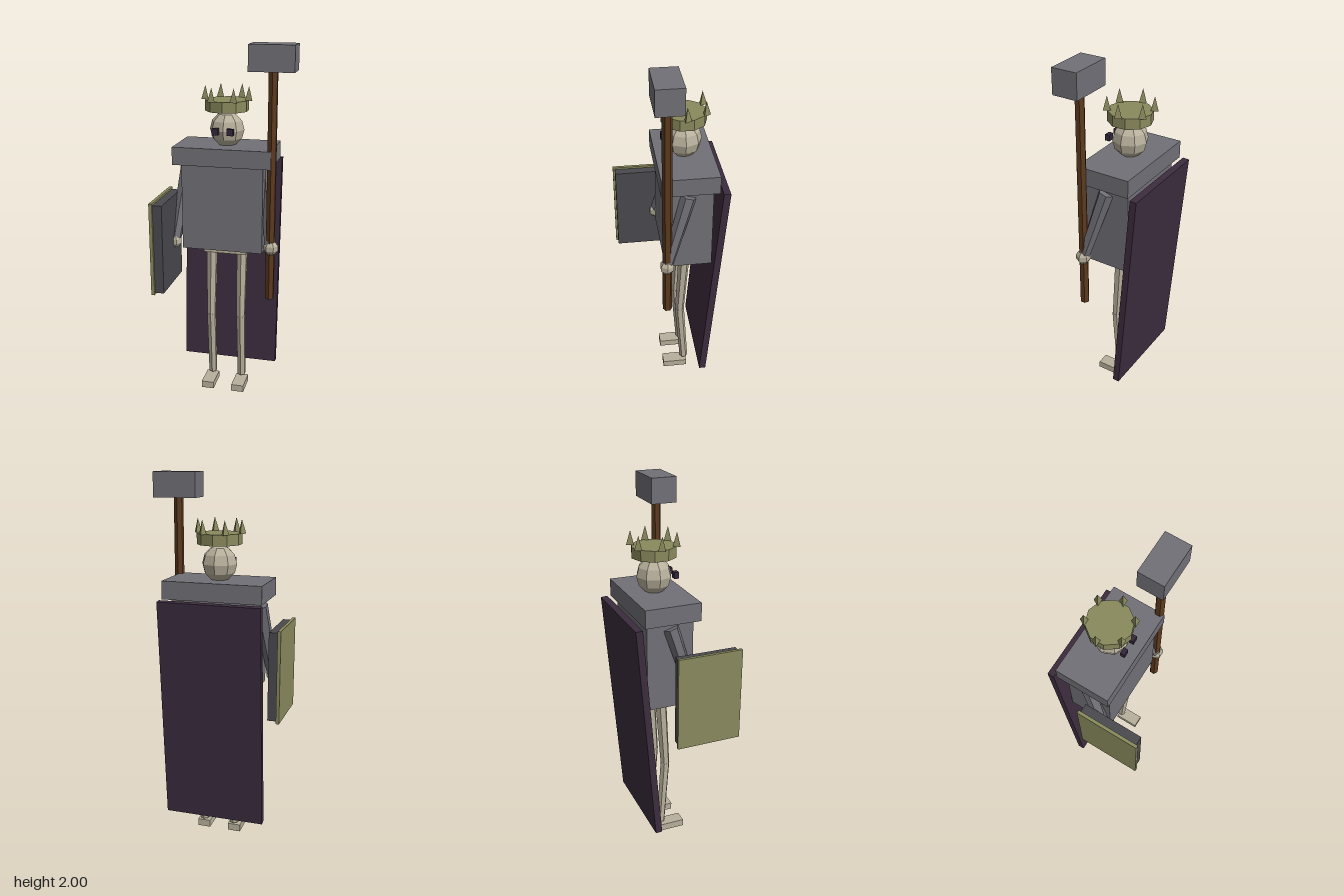
import * as THREE from 'three';

const mat = (name, color) => {
  const m = new THREE.MeshStandardMaterial({ color, flatShading: true });
  m.name = name;
  return m;
};

export function createModel() {
  const steel = mat('steel', 0x707077);
  const darkSteel = mat('dark steel', 0x4a4a4f);
  const gold = mat('tarnished gold', 0x8a8a5e);
  const bone = mat('bone', 0xb8b09c);
  const wood = mat('wood', 0x5c3a1e);
  const cloth = mat('purple cloth', 0x3c2c3e);
  const socket = mat('eye socket', 0x33283a);

  const model = new THREE.Group();
  model.name = 'skeletonKing';
  // The figure's own axis, slightly off the middle because of its gear
  const body = new THREE.Group();
  body.name = 'body';
  body.position.set(-0.027, 0, -0.077);
  model.add(body);

  const add = (parent, name, geometry, material, x, y, z) => {
    const mesh = new THREE.Mesh(geometry, material);
    mesh.name = name;
    mesh.position.set(x, y, z);
    parent.add(mesh);
    return mesh;
  };
  const box = (parent, name, material, w, h, d, x, y, z) =>
    add(parent, name, new THREE.BoxGeometry(w, h, d), material, x, y, z);

  // Tapered limb running from point a down to point b
  const limb = (name, material, a, b, rTop, rBottom) => {
    const top = new THREE.Vector3(...a), bottom = new THREE.Vector3(...b);
    const axis = top.clone().sub(bottom);
    const mid = top.clone().add(bottom).multiplyScalar(0.5);
    const mesh = add(body, name,
      new THREE.CylinderGeometry(rTop, rBottom, axis.length(), 6), material, mid.x, mid.y, mid.z);
    mesh.quaternion.setFromUnitVectors(new THREE.Vector3(0, 1, 0), axis.normalize());
  };

  // Armour and hips
  box(body, 'shoulderPlate', steel, 0.54, 0.097, 0.303, 0, 1.404, 0);
  box(body, 'torso', steel, 0.45, 0.48, 0.254, 0, 1.116, 0);
  box(body, 'hips', bone, 0.243, 0.042, 0.116, 0, 0.857, 0);

  // Head
  add(body, 'skull', new THREE.SphereGeometry(0.096, 8, 6), bone, 0, 1.535, 0);

  // Crown: a ten-sided drum with six three-sided spikes
  add(body, 'crownBand', new THREE.CylinderGeometry(0.119, 0.119, 0.058, 10), gold, 0, 1.666, 0);
  for (let i = 0; i < 6; i++) {
    const a = (i * Math.PI) / 3;
    const spike = add(body, 'crownSpike', new THREE.ConeGeometry(0.0235, 0.075, 3), gold,
      0.12 * Math.cos(a), 1.731, 0.12 * Math.sin(a));
    spike.rotation.y = Math.PI;
  }

  // Mirrored eyes, legs, feet, arms and hands
  for (const s of [1, -1]) {
    const side = s > 0 ? 'left' : 'right';
    box(body, side + 'Eye', socket, 0.035, 0.035, 0.025, s * 0.041, 1.537, 0.104);
    limb(side + 'Thigh', bone, [s * 0.088, 0.838, 0.002], [s * 0.088, 0.44, 0.026], 0.032, 0.026);
    limb(side + 'Shin', bone, [s * 0.088, 0.445, 0.026], [s * 0.088, 0.052, -0.002], 0.027, 0.024);
    box(body, side + 'Foot', bone, 0.072, 0.04, 0.14, s * 0.09, 0.02, 0.056);
    limb(side + 'Arm', steel, [s * 0.222, 1.322, 0.004], [s * 0.268, 0.93, 0.118], 0.042, 0.032);
    add(body, side + 'Hand', new THREE.SphereGeometry(0.042, 6, 5), bone, s * 0.274, 0.915, 0.122);
  }

  // Stiff cape leaning away from the back at the top
  const cape = box(model, 'cape', cloth, 0.557, 1.238, 0.037, -0.027, 0.735, -0.214);
  cape.rotation.x = -0.08;

  // War hammer in the left hand
  const hammer = new THREE.Group();
  hammer.name = 'hammer';
  hammer.position.set(0.244, 0, 0.044);
  model.add(hammer);
  add(hammer, 'hammerShaft', new THREE.CylinderGeometry(0.026, 0.026, 1.26, 6), wood, 0, 1.247, 0);
  box(hammer, 'hammerHead', steel, 0.238, 0.135, 0.14, 0, 1.9325, 0);

  // Shield on the right arm with a gold outer face
  box(model, 'shieldBoard', darkSteel, 0.05, 0.495, 0.339, -0.322, 0.932, 0.1025);
  box(model, 'shieldFace', gold, 0.018, 0.517, 0.361, -0.356, 0.932, 0.1025);

  return model;
}
